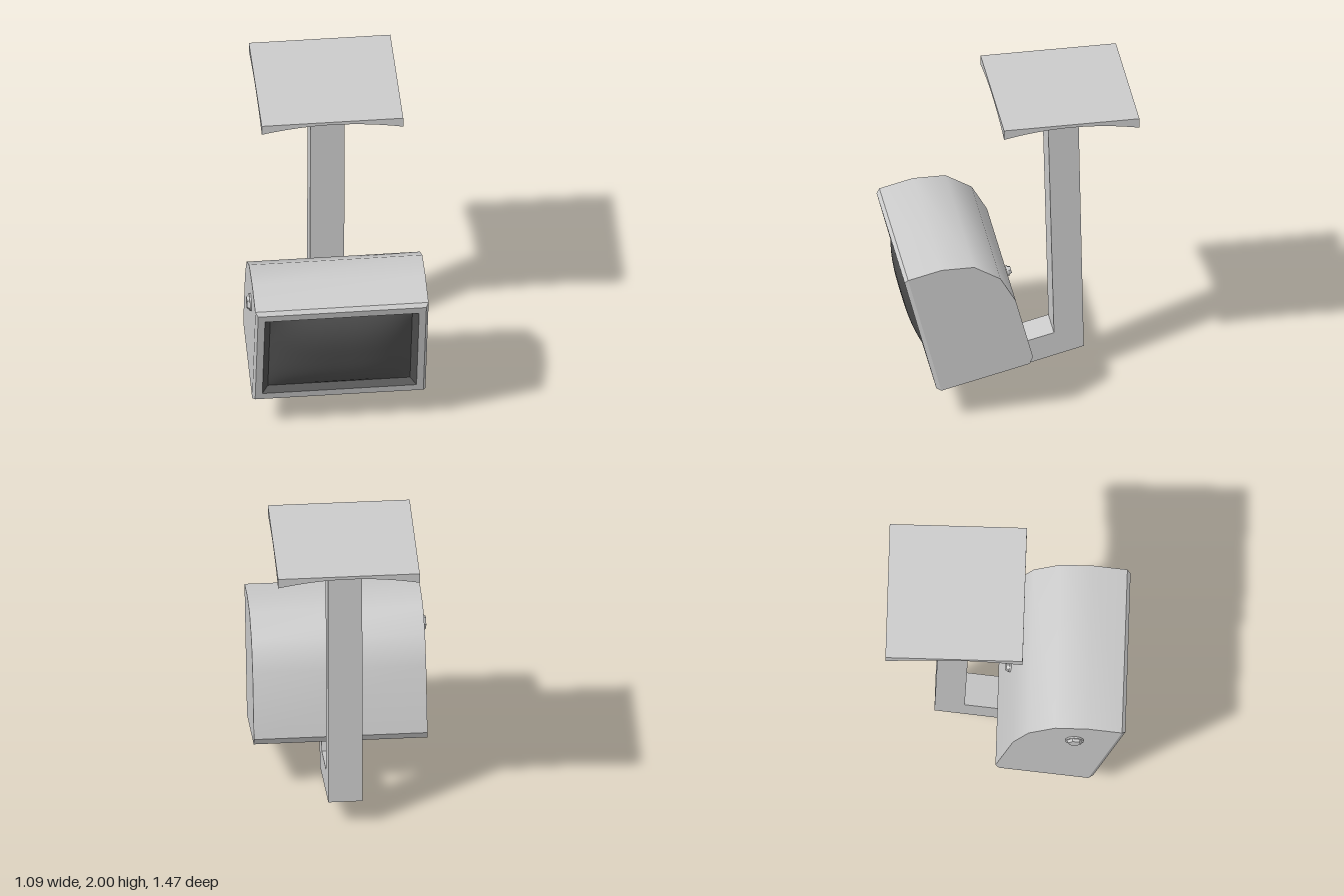
import * as THREE from 'three';
import { toCreasedNormals } from 'three/addons/utils/BufferGeometryUtils.js';

const grey = new THREE.MeshStandardMaterial({ color: 0xcccccc });
const dark = new THREE.MeshStandardMaterial({ color: 0x505050 });

function part(name, geometry, material = grey) {
  const mesh = new THREE.Mesh(geometry, material);
  mesh.name = name;
  return mesh;
}

// Extrudes a (z, y) profile along x, centred on x = 0
function sideExtrude(points, width) {
  const shape = new THREE.Shape(points.map(([z, y]) => new THREE.Vector2(-z, y)));
  const geo = new THREE.ExtrudeGeometry(shape, { depth: width, bevelEnabled: false });
  return geo.translate(0, 0, -width / 2).rotateY(Math.PI / 2);
}

// Joins rectangles [halfWidth, halfHeight, z], listed outside to inside, facing +z
function rectLoft(rects) {
  const pos = [];
  const corner = ([w, h, z], k) => [[-w, -h, z], [w, -h, z], [w, h, z], [-w, h, z]][k % 4];
  for (let i = 0; i < rects.length - 1; i++) {
    for (let k = 0; k < 4; k++) {
      const a = corner(rects[i], k), b = corner(rects[i], k + 1);
      const c = corner(rects[i + 1], k + 1), d = corner(rects[i + 1], k);
      pos.push(...a, ...b, ...c, ...a, ...c, ...d);
    }
  }
  const geo = new THREE.BufferGeometry();
  geo.setAttribute('position', new THREE.Float32BufferAttribute(pos, 3));
  geo.computeVertexNormals();
  return geo;
}

// Hex bolt with a washer, standing on the origin and pointing along dir
function bolt(name, radius, height, at, dir) {
  const g = new THREE.Group();
  g.name = name;
  const washer = part('washer', toCreasedNormals(new THREE.CylinderGeometry(radius, radius, height * 0.4, 16), 0.6));
  washer.position.y = height * 0.2;
  const head = part('hexHead', toCreasedNormals(new THREE.CylinderGeometry(radius * 0.7, radius * 0.9, height * 0.6, 6), 0.6));
  head.position.y = height * 0.7;
  g.add(washer, head);
  g.position.set(...at);
  g.quaternion.setFromUnitVectors(new THREE.Vector3(0, 1, 0), new THREE.Vector3(...dir));
  return g;
}

// Ceiling plate: thick on its diagonals, thinning to the middle of each edge
function ceilingPlate() {
  const hx = 0.435, hz = 0.42, t = 0.065;
  const geo = new THREE.BoxGeometry(2 * hx, t, 2 * hz, 16, 1, 16);
  const p = geo.attributes.position;
  for (let i = 0; i < p.count; i++) {
    if (p.getY(i) > 0) continue;
    const u = Math.abs(p.getX(i) / hx), v = Math.abs(p.getZ(i) / hz);
    p.setY(i, -t / 2 + 0.045 * Math.abs(u * u - v * v));
  }
  const g = new THREE.Group();
  g.name = 'ceilingPlate';
  g.add(part('plate', toCreasedNormals(geo, 0.5)));
  for (const [x, z] of [[1, 0], [-1, 0], [0, 1], [0, -1]]) {
    g.add(bolt('plateScrew', 0.033, 0.015, [x * 0.37, 0.005, z * 0.36], [0, -1, 0]));
  }
  g.position.set(0, 2 - t / 2, -0.315);
  return g;
}

// Tilted head, with its origin at the middle of the front face
function displayHead() {
  const g = new THREE.Group();
  g.name = 'displayHead';
  const back = -0.025, hw = 0.5325, hh = 0.423;

  // Housing shell, left open at the front for the recess
  const shell = sideExtrude([
    [back, hh], [-0.24, hh], [-0.435, 0.374], [-0.569, 0.237], [-0.62, 0.049],
    [-0.622, -0.382], [-0.591, -hh], [back, -hh],
  ], 2 * hw).toNonIndexed();
  const src = shell.attributes.position, kept = [];
  for (let i = 0; i < src.count; i += 3) {
    const onFront = [0, 1, 2].every((k) => Math.abs(src.getZ(i + k) - back) < 1e-4);
    if (onFront) continue;
    for (let k = 0; k < 3; k++) kept.push(src.getX(i + k), src.getY(i + k), src.getZ(i + k));
  }
  const open = new THREE.BufferGeometry();
  open.setAttribute('position', new THREE.Float32BufferAttribute(kept, 3));
  g.add(part('housing', toCreasedNormals(open, 0.6)));

  // Bevelled frame and recess walls
  g.add(part('frontFrame', rectLoft([[hw, hh, back], [0.517, 0.405, 0], [0.474, 0.352, 0]])));
  g.add(part('recessWalls', rectLoft([[0.474, 0.352, 0], [0.437, 0.325, -0.04]]), dark));

  // Bulging screen
  const screen = new THREE.PlaneGeometry(0.874, 0.65, 24, 20);
  const p = screen.attributes.position;
  const dome = (t) => 1 - Math.abs(t) ** 3;
  for (let i = 0; i < p.count; i++) {
    p.setZ(i, -0.04 + 0.078 * dome(p.getX(i) / 0.437) * dome(p.getY(i) / 0.325));
  }
  screen.computeVertexNormals();
  g.add(part('screen', screen, dark));

  // Bolts on the side, back and underside
  g.add(bolt('sideBolt', 0.056, 0.026, [-hw, 0.213, -0.272], [-1, 0, 0]));
  g.add(bolt('backBolt', 0.033, 0.028, [0, -0.075, -0.622], [0, 0, -1]));
  g.add(bolt('bottomBolt', 0.033, 0.026, [0, -hh, -0.216], [0, -1, 0]));

  g.position.set(0, 0.623, 0.638);
  g.rotation.x = 0.246;
  return g;
}

export function createModel() {
  const model = new THREE.Group();
  model.name = 'ceilingMountedDisplay';

  // Drop post with the hooked arm under the head
  const arm = part('mountArm', sideExtrude([
    [-0.22, 1.95], [-0.41, 1.95], [-0.445, 0.175], [0.235, 0],
    [0.305, 0.28], [0.13, 0.33], [0.095, 0.2], [-0.26, 0.29],
  ], 0.21));

  const body = new THREE.Group();
  body.name = 'assembly';
  body.add(ceilingPlate(), arm, displayHead());
  body.position.x = 0.01;
  model.add(body);
  return model;
}
